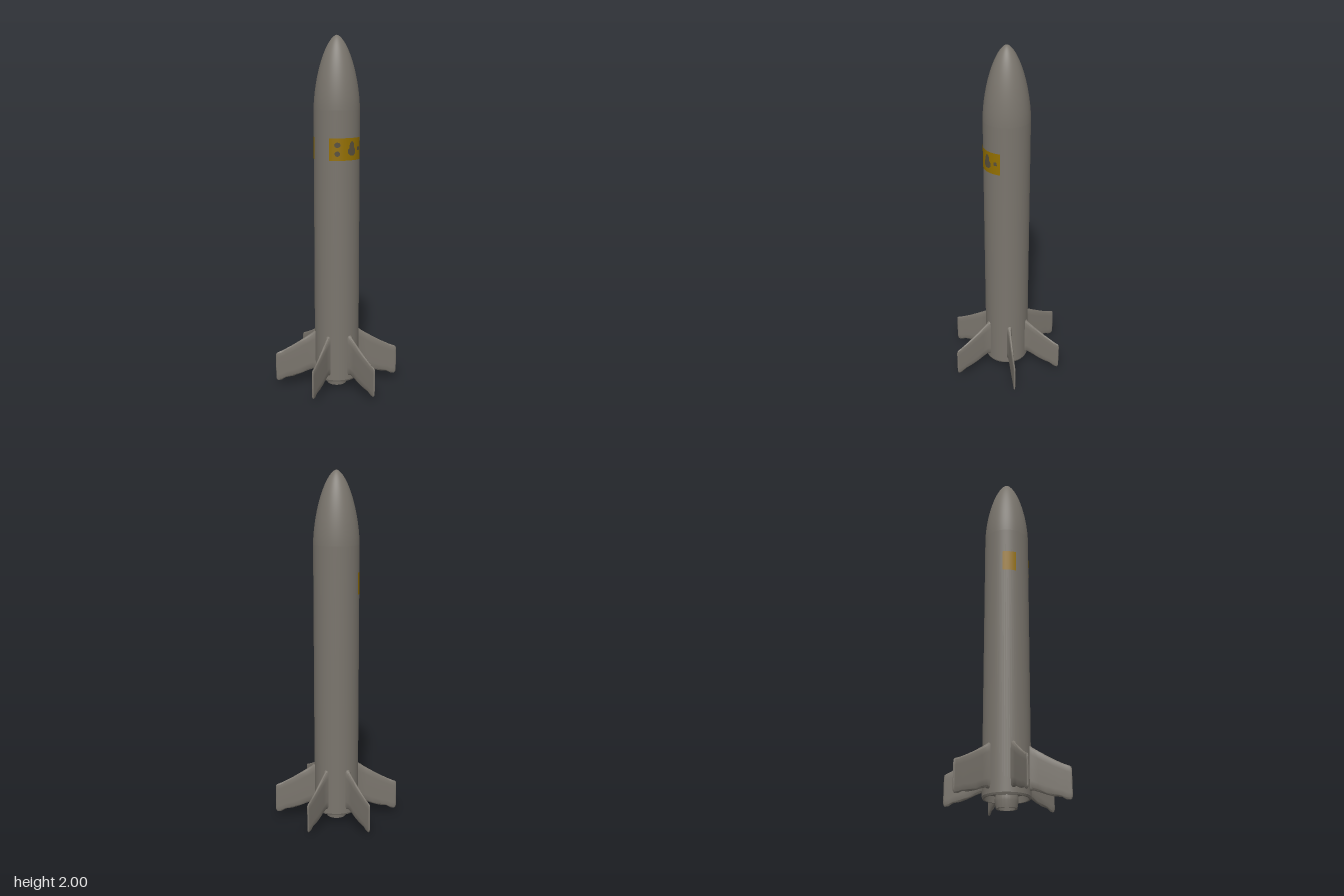
import * as THREE from 'three';
import { toCreasedNormals } from 'three/addons/utils/BufferGeometryUtils.js';

const R = 0.128;
const rad = THREE.MathUtils.degToRad;

function lathe(points, crease) {
  const geo = new THREE.LatheGeometry(points.map(([r, y]) => new THREE.Vector2(r, y)), 64);
  return crease ? toCreasedNormals(geo, 0.6) : geo;
}

// Fin lofted outwards along +x: each station is [radius, top, bottom, half thickness]
function finGeometry() {
  const stations = [
    [0.11, 0.33, 0.08, 0.018], [0.128, 0.322, 0.085, 0.015], [0.14, 0.312, 0.088, 0.01],
    [0.17, 0.292, 0.078, 0.009], [0.21, 0.267, 0.062, 0.008], [0.25, 0.243, 0.05, 0.007],
    [0.29, 0.222, 0.045, 0.006], [0.315, 0.21, 0.031, 0.005], [0.335, 0.202, 0.029, 0.005],
    [0.342, 0.197, 0.036, 0.0045], [0.345, 0.188, 0.046, 0.002],
  ];
  // Cross-section as [height fraction, thickness fraction]
  const half = [[0, 0], [0.01, 0.5], [0.05, 0.9], [0.2, 1], [0.5, 1], [0.8, 1], [0.95, 0.9], [0.99, 0.5], [1, 0]];
  const loop = [...half, ...half.slice(1, -1).reverse().map(([h, t]) => [h, -t])];
  const n = loop.length;
  const pos = [], index = [];
  for (const [r, top, bottom, thick] of stations)
    for (const [h, t] of loop) pos.push(r, bottom + (top - bottom) * h, thick * t);
  for (let s = 0; s < stations.length - 1; s++)
    for (let i = 0; i < n; i++) {
      const a = s * n + i, b = s * n + (i + 1) % n;
      index.push(a, a + n, b, b, a + n, b + n);
    }
  // Tip cap
  const last = (stations.length - 1) * n;
  for (let i = 1; i < n - 1; i++) index.push(last, last + i + 1, last + i);
  const geo = new THREE.BufferGeometry();
  geo.setAttribute('position', new THREE.Float32BufferAttribute(pos, 3));
  geo.setIndex(index);
  return toCreasedNormals(geo, 0.9);
}

// Wrap a flat shape around the body at a given azimuth from +z
function wrap(geo, azimuth, y, radius) {
  const p = geo.attributes.position;
  for (let i = 0; i < p.count; i++) {
    const a = rad(azimuth) + p.getX(i) / R;
    p.setXYZ(i, Math.sin(a) * radius, y + p.getY(i), Math.cos(a) * radius);
  }
  geo.computeVertexNormals();
  return geo;
}

export function createModel() {
  const grey = new THREE.MeshStandardMaterial({ name: 'warm grey', color: 0x7a756d, side: THREE.DoubleSide });
  const yellow = new THREE.MeshStandardMaterial({ name: 'dark yellow', color: 0x947000, side: THREE.DoubleSide });
  const dark = new THREE.MeshStandardMaterial({ name: 'dark marking', color: 0x574f3d, side: THREE.DoubleSide });

  const model = new THREE.Group();
  model.name = 'rocket';
  function add(name, geo, mat, parent = model) {
    const mesh = new THREE.Mesh(geo, mat);
    mesh.name = name;
    parent.add(mesh);
    return mesh;
  }

  // Body tube and rounded nose
  const nose = [];
  for (let i = 0; i <= 28; i++) {
    const t = Math.sin((i / 28) * Math.PI / 2);
    nose.push([R * Math.pow(Math.max(0, 1 - Math.pow(t, 1.7)), 0.6), 1.6 + 0.4 * t]);
  }
  add('body', lathe([[R, 0.06], [R, 1.6]]), grey);
  add('nose', lathe(nose), grey);

  // Recessed tail with a hollow nozzle
  add('tail', lathe([[0.05, 0.085], [0.112, 0.085], [0.115, 0.05], [0.124, 0.05], [R, 0.06]], true), grey);
  add('nozzle', lathe([[0, 0.06], [0.036, 0.06], [0.046, 0], [0.055, 0], [0.061, 0.035], [0.061, 0.05], [0.055, 0.085]], true), grey);

  // Six fins
  const finGeo = finGeometry();
  for (const azimuth of [0, 58.4, 121.6, 180, 238.4, 301.6]) {
    const fin = add('fin', finGeo, grey);
    fin.rotation.y = rad(azimuth - 90);
    if (azimuth % 180 !== 0) fin.scale.x = 1.037;
  }

  // Wrapped yellow labels: start and end azimuth
  for (const [start, end] of [[4, 98], [-85, -50]]) {
    const label = add('label', new THREE.CylinderGeometry(R + 0.0015, R + 0.0015, 0.122, 32, 1, true, rad(start), rad(end - start)), yellow);
    label.position.y = 1.391;
  }

  // Dark markings on the label: azimuth, height, half width, half height, sides
  const marks = new THREE.Group();
  marks.name = 'label markings';
  model.add(marks);
  for (const [azimuth, y, w, h, sides] of [
    [24, 1.415, 0.017, 0.015, 10], [24, 1.367, 0.015, 0.015, 10],
    [62, 1.405, 0.016, 0.03, 12], [62, 1.38, 0.027, 0.026, 8],
    [86, 1.392, 0.014, 0.014, 4],
  ]) {
    const flat = new THREE.CircleGeometry(1, sides, Math.PI / sides).scale(w, h, 1);
    add('marking', wrap(flat, azimuth, y, R + 0.003), dark, marks);
  }
  return model;
}
